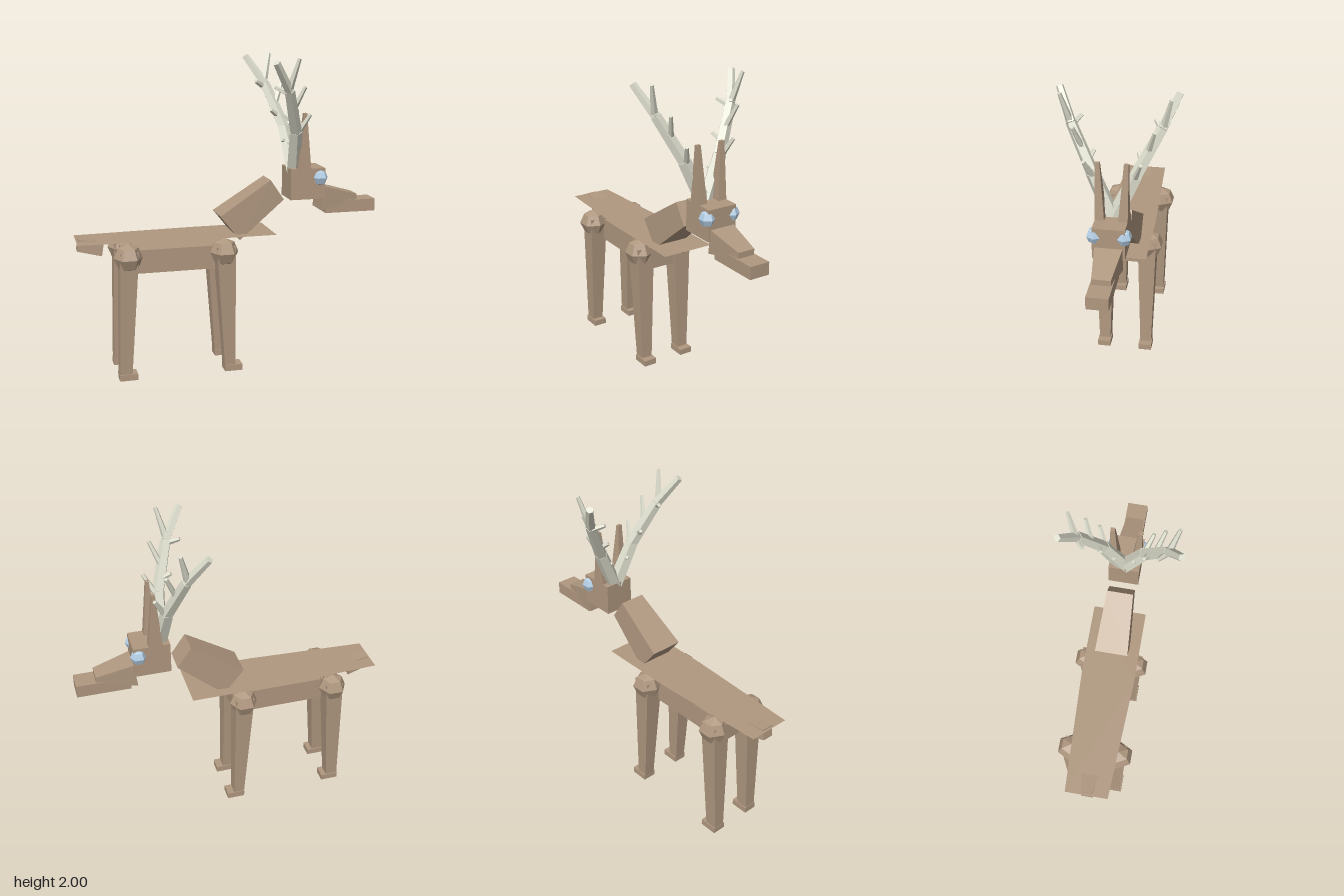
import * as THREE from 'three';

const material = (color) => new THREE.MeshStandardMaterial({ color, flatShading: true });

export function createModel() {
  const model = new THREE.Group();
  const fur = material(0xb09880);
  const horn = material(0xdcdccc);
  const eyeBlue = material(0xb4cfe6);

  const add = (name, geometry, mat = fur, parent = model) => {
    const mesh = new THREE.Mesh(geometry, mat);
    mesh.name = name;
    parent.add(mesh);
    return mesh;
  };

  // Box whose corners are moved by a rule of the corner signs
  const warpedBox = (rule) => {
    const geometry = new THREE.BoxGeometry(2, 2, 2);
    const p = geometry.attributes.position;
    for (let i = 0; i < p.count; i++) p.setXYZ(i, ...rule(p.getX(i), p.getY(i), p.getZ(i)));
    geometry.computeVertexNormals();
    return geometry;
  };

  // Block between a rear and a front edge: [topX, topY, bottomX, bottomY, halfWidth]
  const block = (name, rear, front) => add(name, warpedBox((x, y, z) => {
    const e = x < 0 ? rear : front;
    return y > 0 ? [e[0], e[1], z * e[4]] : [e[2], e[3], z * e[4]];
  }));

  // Upright taper between two rectangles: [x0, x1, z0, z1] at heights y0 and y1
  const taper = (name, y0, low, y1, high, side, parent) => add(name, warpedBox((x, y, z) => {
    const r = y < 0 ? low : high;
    const outer = z * side > 0;
    return [x < 0 ? r[0] : r[1], y < 0 ? y0 : y1, side * (outer ? r[3] : r[2])];
  }), fur, parent);

  // Tapered five-sided rod between two points
  const rod = (name, from, to, r0, r1, parent) => {
    const a = new THREE.Vector3(...from), b = new THREE.Vector3(...to);
    const dir = b.clone().sub(a);
    const mesh = add(name, new THREE.CylinderGeometry(r1, r0, dir.length(), 5), horn, parent);
    mesh.position.copy(a).add(b).multiplyScalar(0.5);
    mesh.quaternion.setFromUnitVectors(new THREE.Vector3(0, 1, 0), dir.normalize());
  };

  // Trunk, neck, tail and head
  block('body', [-0.7, 0.82, -0.7, 0.67, 0.1], [-0.02, 0.82, -0.02, 0.67, 0.1]);
  block('neck', [-0.08, 1.005, 0.047, 0.845, 0.105], [0.254, 1.22, 0.343, 1.09, 0.083]);
  block('tail', [-0.965, 0.892, -0.975, 0.82, 0.036], [-0.81, 0.88, -0.825, 0.787, 0.06]);
  block('head', [0.385, 1.285, 0.385, 1.085, 0.097], [0.615, 1.285, 0.615, 1.085, 0.097]);
  block('snout', [0.615, 1.16, 0.595, 1.005, 0.083], [0.85, 1.097, 0.85, 1.055, 0.056]);
  block('jaw', [0.635, 1.06, 0.635, 0.98, 0.066], [0.975, 1.06, 0.975, 0.98, 0.066]);

  // Flat sheet over the back
  const outline = [[-0.98, -0.135], [-0.2, -0.172], [0.27, -0.172], [0.27, 0.172], [-0.2, 0.172], [-0.98, 0.135]];
  const sheet = new THREE.ShapeGeometry(new THREE.Shape(outline.map(([x, z]) => new THREE.Vector2(x, z))));
  sheet.rotateX(Math.PI / 2);
  const sheetMaterial = material(0xb09880);
  sheetMaterial.side = THREE.DoubleSide;
  add('backSheet', sheet, sheetMaterial).position.y = 0.883;

  const legs = [
    { name: 'rearLeg', x: -0.675, low: [-0.748, -0.67], high: [-0.73, -0.615], hoof: [-0.75, -0.635] },
    { name: 'frontLeg', x: -0.067, low: [-0.07, 0], high: [-0.125, -0.005], hoof: [-0.07, 0.045] },
  ];

  for (const side of [1, -1]) {
    const label = side > 0 ? 'Left' : 'Right';

    // Legs with joint and hoof
    for (const leg of legs) {
      const group = new THREE.Group();
      group.name = leg.name + label;
      model.add(group);
      taper('shank', 0.03, [...leg.low, 0.105, 0.178], 0.83, [...leg.high, 0.08, 0.2], side, group);
      const foot = [...leg.hoof, 0.098, 0.185];
      taper('hoof', 0, foot, 0.04, foot, side, group);
      const joint = add('joint', new THREE.SphereGeometry(0.09, 6, 4), fur, group);
      joint.scale.z = 1.08;
      joint.position.set(leg.x, 0.79, side * 0.149);
    }

    // Ear and eye
    taper('ear' + label, 1.27, [0.43, 0.52, 0.04, 0.098], 1.64, [0.465, 0.485, 0.07, 0.098], side, model);
    add('eye' + label, new THREE.SphereGeometry(0.052, 6, 4), eyeBlue).position.set(0.583, 1.223, side * 0.085);

    // Antler: three beam segments and its tines
    const antler = new THREE.Group();
    antler.name = 'antler' + label;
    model.add(antler);
    const at = ([x, y, z]) => [x, y, z * side];
    const beam = [[0.43, 1.26, 0.005], [0.4, 1.53, 0.127], [0.31, 1.8, 0.265], [0.2, 1.975, 0.35]];
    const radii = [0.05, 0.04, 0.031, 0.02];
    for (let i = 0; i < 3; i++) {
      rod('beam', at(beam[i]), at(beam[i + 1]), radii[i], radii[i + 1] + 0.003, antler);
    }
    const tines = [
      [[0.305, 1.8, 0.27], [0.355, 1.995, 0.318], 0.024],
      [[0.355, 1.66, 0.19], [0.423, 1.82, 0.235], 0.02],
      [[0.405, 1.5, 0.115], [0.483, 1.64, 0.165], 0.022],
      [[0.3, 1.785, 0.26], [0.235, 1.82, 0.215], 0.02],
      [[0.375, 1.595, 0.16], [0.315, 1.64, 0.13], 0.021],
      [[0.41, 1.43, 0.085], [0.37, 1.455, 0.06], 0.022],
    ];
    for (const [from, to, r] of tines) rod('tine', at(from), at(to), r, 0.012, antler);
  }

  return model;
}
